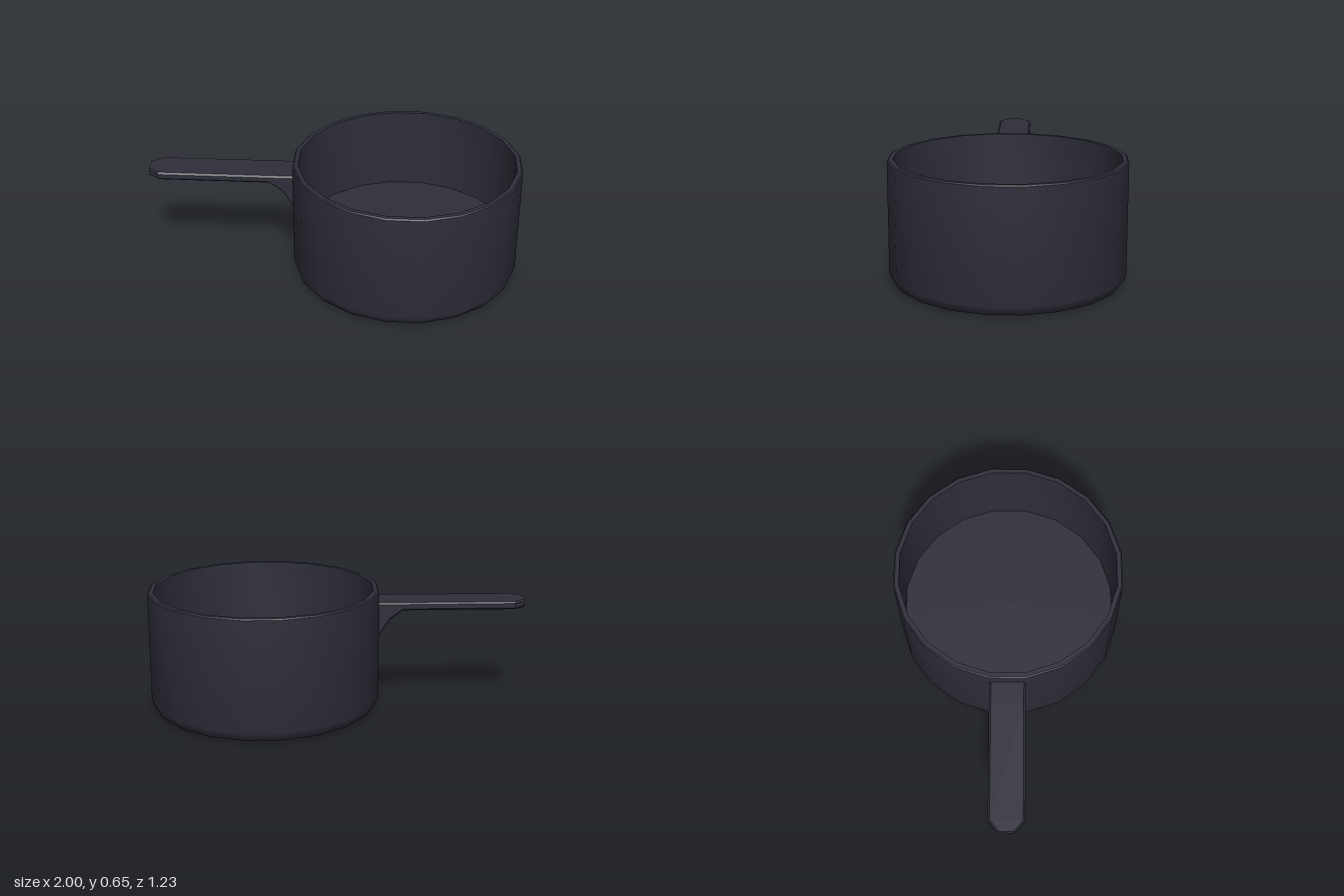
import * as THREE from 'three';
import { toCreasedNormals } from 'three/addons/utils/BufferGeometryUtils.js';

const SIDES = 20;
const POT_X = 0.385;

// Lofts bevelled rectangular sections along +x: each station is [x, halfWidth, bottomY, topY]
function loftBar(stations, bevel) {
  const positions = [];
  const index = [];
  const n = 8;
  for (const [x, w, y0, y1] of stations) {
    const b = bevel;
    const ring = [
      [y0, -w + b], [y0, w - b], [y0 + b, w], [y1 - b, w],
      [y1, w - b], [y1, -w + b], [y1 - b, -w], [y0 + b, -w],
    ];
    for (const [y, z] of ring) positions.push(x, y, z);
  }
  for (let s = 0; s < stations.length - 1; s++) {
    for (let i = 0; i < n; i++) {
      const a = s * n + i;
      const b = s * n + (i + 1) % n;
      index.push(a, a + n, b, b, a + n, b + n);
    }
  }
  // End caps
  const last = (stations.length - 1) * n;
  for (let i = 1; i < n - 1; i++) {
    index.push(0, i, i + 1);
    index.push(last, last + i + 1, last + i);
  }
  const geometry = new THREE.BufferGeometry();
  geometry.setAttribute('position', new THREE.Float32BufferAttribute(positions, 3));
  geometry.setIndex(index);
  // Orient faces outward
  const p = geometry.attributes.position;
  const v = [0, 1, 2].map(() => new THREE.Vector3());
  let volume = 0;
  for (let i = 0; i < index.length; i += 3) {
    v.forEach((q, k) => q.fromBufferAttribute(p, index[i + k]));
    volume += v[0].dot(v[1].clone().cross(v[2]));
  }
  if (volume < 0) geometry.setIndex(index.reverse());
  return geometry;
}

export function createModel() {
  const model = new THREE.Group();
  model.name = 'saucepan';
  const material = new THREE.MeshStandardMaterial({ color: 0x2d2e39 });

  // Pot: rounded base, straight wall, bevelled rim, thick floor
  const profile = [
    [0, 0], [0.56, 0], [0.585, 0.008], [0.605, 0.03], [0.615, 0.06],
    [0.615, 0.643], [0.608, 0.65], [0.585, 0.65], [0.585, 0.195], [0, 0.195],
  ].map(([r, y]) => new THREE.Vector2(r, y));
  const pot = new THREE.Mesh(
    toCreasedNormals(new THREE.LatheGeometry(profile, SIDES), 0.6), material);
  pot.name = 'pot';
  pot.position.x = POT_X;
  model.add(pot);

  // Handle: curved bracket at the wall, flat grip, clipped tip
  const top = 0.583;
  const handleGeometry = loftBar([
    [0.598, 0.095, 0.39, top],
    [0.607, 0.095, 0.40, top],
    [0.665, 0.095, 0.49, top],
    [0.735, 0.095, 0.54, top],
    [1.332, 0.094, 0.54, top],
    [1.391, 0.047, 0.54, top],
  ], 0.01);
  const handle = new THREE.Mesh(toCreasedNormals(handleGeometry, 0.3), material);
  handle.name = 'handle';
  handle.position.x = POT_X;
  // Centred on one facet of the pot wall
  handle.rotation.y = Math.PI - Math.PI / SIDES;
  model.add(handle);

  return model;
}
